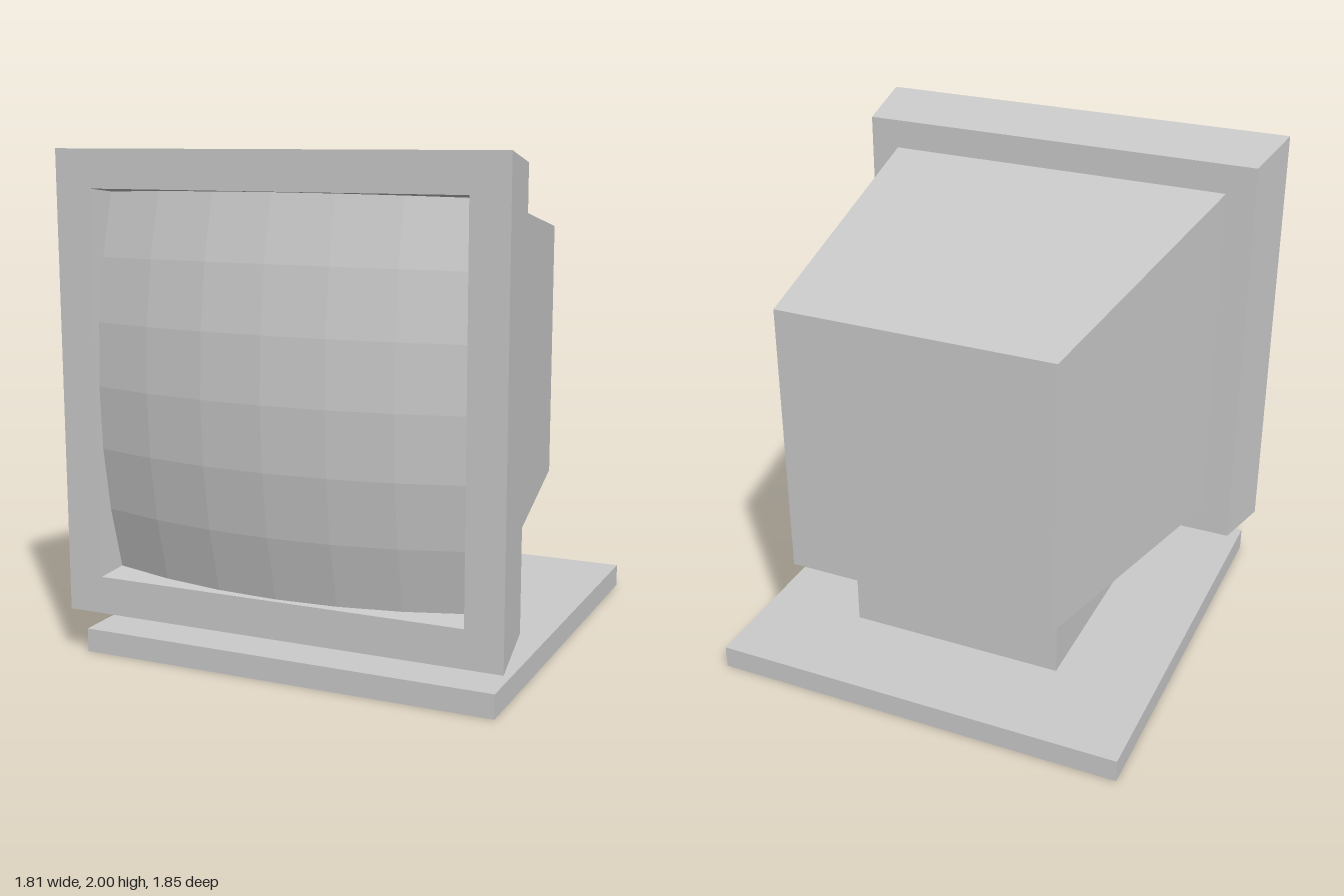
import * as THREE from 'three';

const CENTRE_Y = 1.093; // height of the screen axis

export function createModel() {
  const model = new THREE.Group();
  const material = new THREE.MeshStandardMaterial({ color: 0xcccccc, flatShading: true });

  function add(name, geometry, x, y, z) {
    const mesh = new THREE.Mesh(geometry, material);
    mesh.name = name;
    mesh.position.set(x, y, z);
    model.add(mesh);
  }

  // Square-section solid around the z axis, from [half width, z] pairs
  function squareLoft(profile) {
    const points = profile.map(([half, z]) => new THREE.Vector2(half * Math.SQRT2, z));
    return new THREE.LatheGeometry(points, 4, Math.PI / 4).rotateX(Math.PI / 2);
  }

  // Bezel: square ring whose outside and opening both taper to the rear
  add('bezel', squareLoft([
    [0.862, 0.52], [0.907, 0.84], [0.758, 0.84], [0.72, 0.52], [0.862, 0.52],
  ]), 0, CENTRE_Y, 0);

  // Rear housing: closed tapering box
  add('housing', squareLoft([
    [0, -0.83], [0.557, -0.83], [0.74, 0.523], [0, 0.523],
  ]), 0, CENTRE_Y, 0);

  // Screen: bulging faceted patch that meets the tapered opening
  const half = 0.756, radius = 2.76, peak = 0.925;
  const screen = new THREE.PlaneGeometry(2, 2, 6, 6);
  const p = screen.attributes.position;
  for (let i = 0; i < p.count; i++) {
    const u = p.getX(i), v = p.getY(i);
    const x = half * u * (1 - 0.016 * v * v);
    const y = half * v * (1 - 0.016 * u * u);
    p.setXYZ(i, x, y, peak - radius + Math.sqrt(radius * radius - x * x - y * y));
  }
  screen.computeVertexNormals();
  add('screen', screen, 0, CENTRE_Y, 0);

  // Stand: neck running up into the housing, and a flat base plate
  add('neck', new THREE.BoxGeometry(0.906, 0.505, 0.906), 0, 0.3475, -0.067);
  add('base', new THREE.BoxGeometry(1.724, 0.095, 1.726), 0, 0.0475, -0.064);

  return model;
}
